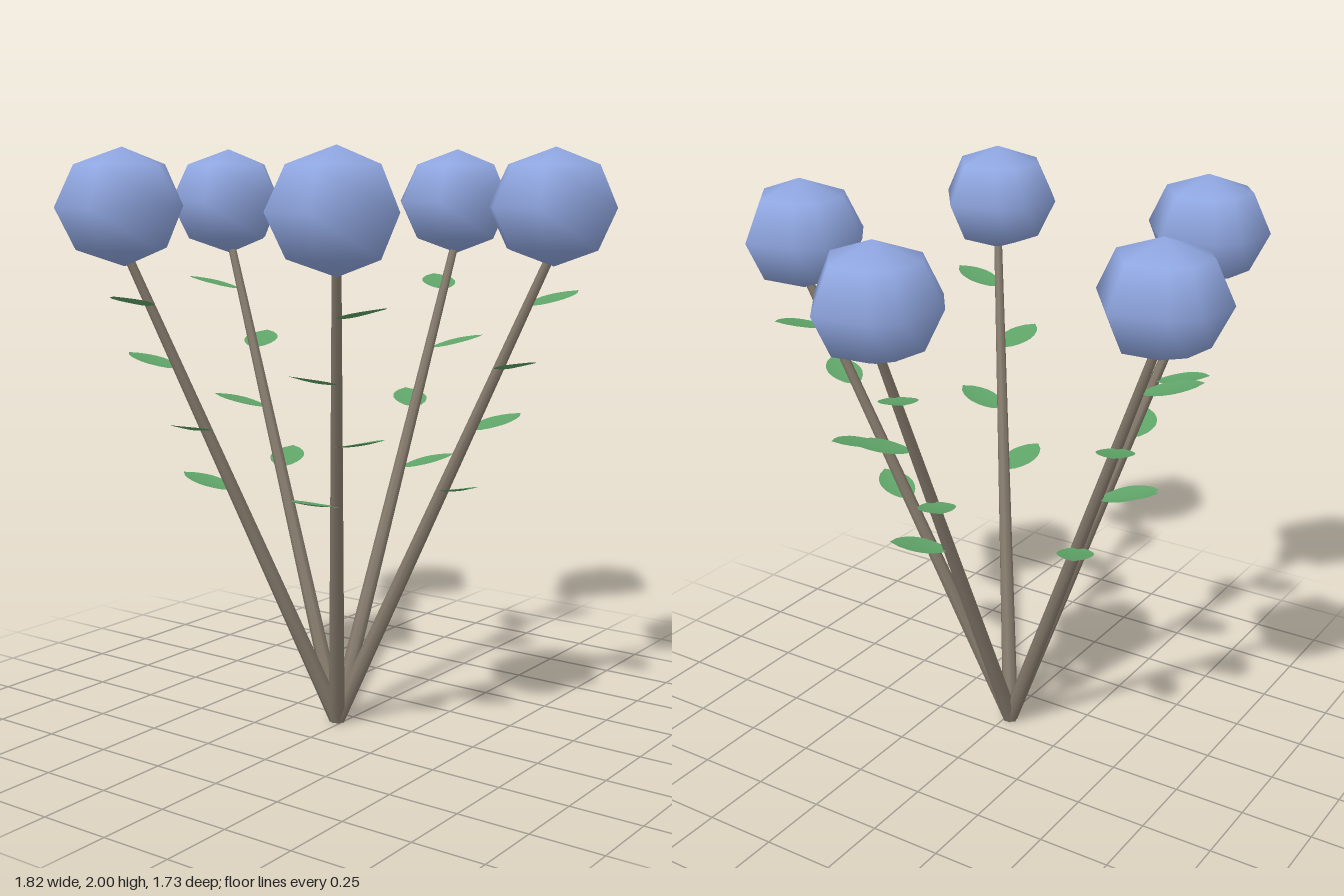
import * as THREE from 'three';

const petalMat = new THREE.MeshStandardMaterial({ color: 0x8fa6e0 });
const stemMat = new THREE.MeshStandardMaterial({ color: 0x857a6c });
const leafMat = new THREE.MeshStandardMaterial({ color: 0x5fa468, side: THREE.DoubleSide });

const ROOT = new THREE.Vector3(-0.02, 0.01, 0.07);
const HEAD_Y = 1.81;
const HEADS = [[0, -0.66], [-0.695, -0.175], [0.685, -0.155], [-0.445, 0.645], [0.41, 0.65]];
const LEAF_HEIGHTS = [0.86, 1.07, 1.28, 1.49];

// Low-poly bloom: a seven-sided, slightly irregular, flattened ball
function bloomGeometry() {
  const angles = [0, -72, -122, -148, -195, -237, -286, -360].map(THREE.MathUtils.degToRad);
  const geo = new THREE.SphereGeometry(1, 7, 4);
  const pos = geo.attributes.position;
  const n = new THREE.Vector3();
  for (let i = 0; i < pos.count; i++) {
    const a = angles[i % 8];
    const r = Math.hypot(pos.getX(i), pos.getZ(i));
    n.set(Math.cos(a) * r, pos.getY(i), Math.sin(a) * r);
    pos.setXYZ(i, n.x * 0.222, n.y * 0.19, n.z * 0.222);
    n.y *= 1.15;
    n.normalize();
    geo.attributes.normal.setXYZ(i, n.x, n.y, n.z);
  }
  return geo;
}

// Rounded leaf blade along +x that curls upward towards its tip
function leafGeometry() {
  const geo = new THREE.PlaneGeometry(1, 1, 8, 2).rotateX(-Math.PI / 2);
  const pos = geo.attributes.position;
  for (let i = 0; i < pos.count; i++) {
    const t = pos.getX(i) + 0.5;
    const s = pos.getZ(i) * 2;
    const halfWidth = 0.062 * Math.pow(Math.max(0, Math.sin(Math.PI * t)), 0.7);
    pos.setXYZ(i, 0.2 * t, 0.045 * Math.pow(t, 1.5) + 0.008 * s * s * Math.sin(Math.PI * t), s * halfWidth);
  }
  geo.computeVertexNormals();
  return geo;
}

// Tapered stem from one point to another
function makeStem(from, to) {
  const dir = to.clone().sub(from);
  const stem = new THREE.Mesh(new THREE.CylinderGeometry(0.015, 0.029, dir.length(), 7), stemMat);
  stem.position.copy(from).addScaledVector(dir, 0.5);
  stem.quaternion.setFromUnitVectors(new THREE.Vector3(0, 1, 0), dir.normalize());
  stem.name = 'stem';
  return stem;
}

export function createModel() {
  const model = new THREE.Group();
  model.name = 'flowerBunch';
  const bloomGeo = bloomGeometry();
  const leafGeo = leafGeometry();

  for (const [x, z] of HEADS) {
    const flower = new THREE.Group();
    flower.name = 'flower';

    const bloom = new THREE.Mesh(bloomGeo, petalMat);
    bloom.name = 'bloom';
    bloom.position.set(x, HEAD_Y, z);

    const top = ROOT.clone().lerp(new THREE.Vector3(x, 1.68, z), 0.985);
    flower.add(bloom, makeStem(ROOT, top));

    // Leaves alternate either side of the stem's outward heading
    const heading = Math.atan2(z - ROOT.z, x - ROOT.x);
    LEAF_HEIGHTS.forEach((y, i) => {
      const leaf = new THREE.Mesh(leafGeo, leafMat);
      leaf.name = 'leaf';
      leaf.position.copy(ROOT).lerp(top, (y - ROOT.y) / (top.y - ROOT.y));
      leaf.rotation.y = -(heading + (i % 2 ? -1 : 1) * Math.PI / 4);
      flower.add(leaf);
    });
    model.add(flower);
  }

  // Alternation: leaves at the top of each stem turn the same way round
  model.children.forEach((flower) => {
    const leaves = flower.children.filter((c) => c.name === 'leaf');
    leaves[1].name = leaves[3].name = 'leafLeft';
    leaves[0].name = leaves[2].name = 'leafRight';
  });
  return model;
}
